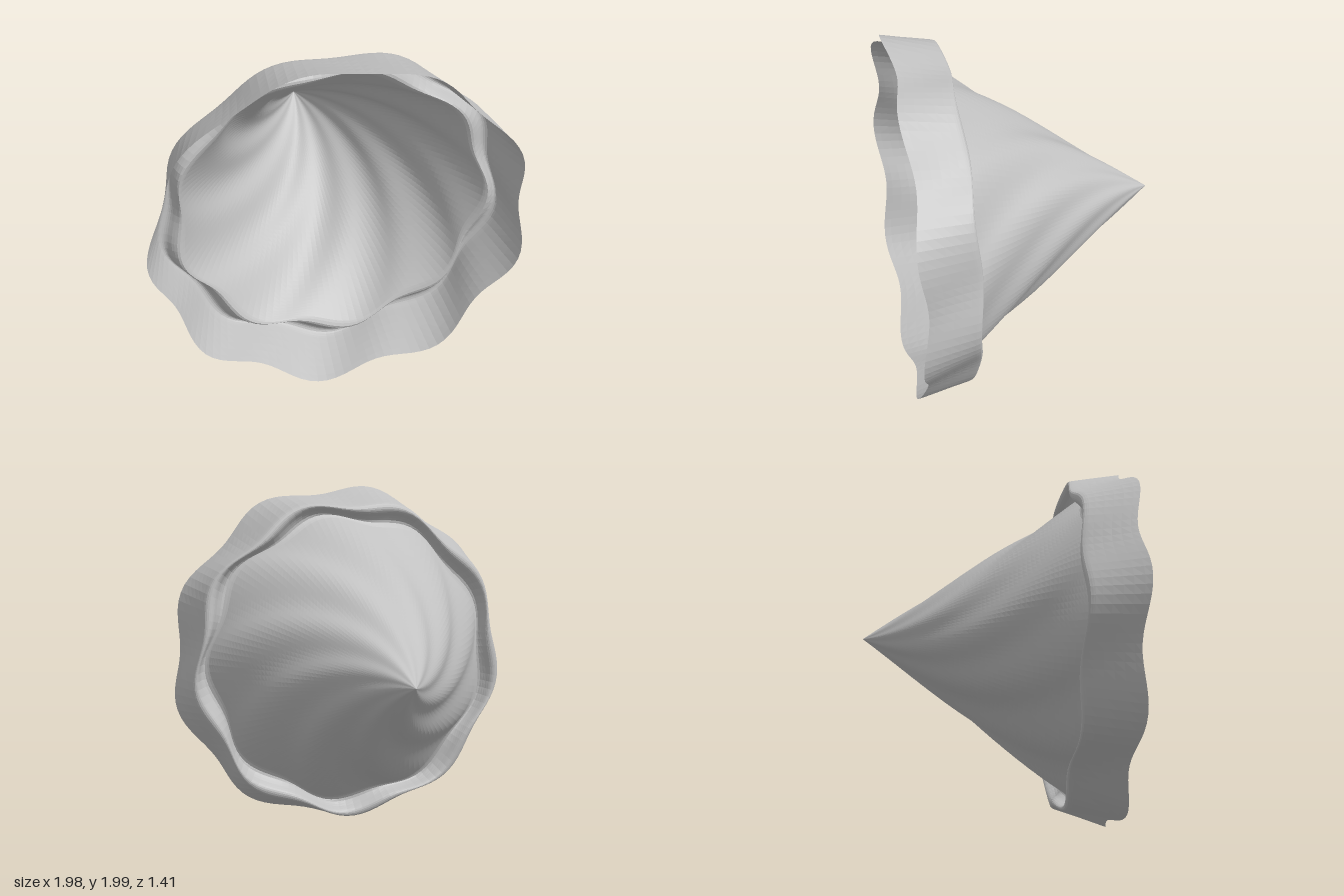
import * as THREE from 'three';

const LOBES = 9, SEGMENTS = 126;
const RIPPLE = 0.03;

// Sweeps a (radius, z) profile round the z axis with ripples that twist as the radius changes
function rippledShell(name, points, rows, material) {
  const profile = new THREE.SplineCurve(points.map(([r, z]) => new THREE.Vector2(r, z)));
  const positions = [], index = [];
  for (let i = 0; i <= rows; i++) {
    const p = profile.getPoint(i / rows);
    const peak = THREE.MathUtils.degToRad(101 + 95 * (1 - p.x));
    for (let j = 0; j < SEGMENTS; j++) {
      const a = (j / SEGMENTS) * Math.PI * 2;
      const wave = RIPPLE * Math.cos(LOBES * (a - peak));
      const r = p.x * (1 + wave);
      const z = p.y + Math.max(p.y, 0) * wave;
      positions.push(r * Math.cos(a), 1 + r * Math.sin(a), z);
    }
  }
  for (let i = 0; i < rows; i++) {
    for (let j = 0; j < SEGMENTS; j++) {
      const k = (j + 1) % SEGMENTS;
      const a = i * SEGMENTS + j, b = i * SEGMENTS + k;
      const c = a + SEGMENTS, d = b + SEGMENTS;
      if (i > 0) index.push(a, d, b); // the first row of the cone closes at its tip
      else if (points[0][0] > 0) index.push(a, d, b);
      index.push(a, c, d);
    }
  }
  const geometry = new THREE.BufferGeometry();
  geometry.setAttribute('position', new THREE.Float32BufferAttribute(positions, 3));
  geometry.setIndex(index);
  geometry.computeVertexNormals();
  const mesh = new THREE.Mesh(geometry, material);
  mesh.name = name;
  return mesh;
}

export function createModel() {
  const grey = new THREE.MeshStandardMaterial({ color: 0xc0c0c0, side: THREE.DoubleSide, flatShading: true });
  grey.name = 'light grey';

  const group = new THREE.Group();
  group.name = 'rippledFunnel';

  // Hollow cone, its tip at the back
  group.add(rippledShell('cone', [[0, -0.7], [0.4, -0.125], [0.8, 0.44]], 56, grey));
  // Lip folding forward, then back and outward to the rim
  group.add(rippledShell('foldedLip',
    [[0.8, 0.44], [0.825, 0.455], [0.85, 0.43], [0.868, 0.4], [0.885, 0.388], [0.903, 0.395], [0.912, 0.42]], 14, grey));
  // Flared rim, open at the front
  group.add(rippledShell('flaredRim', [[0.912, 0.42], [0.942, 0.55], [0.977, 0.687]], 6, grey));

  return group;
}
